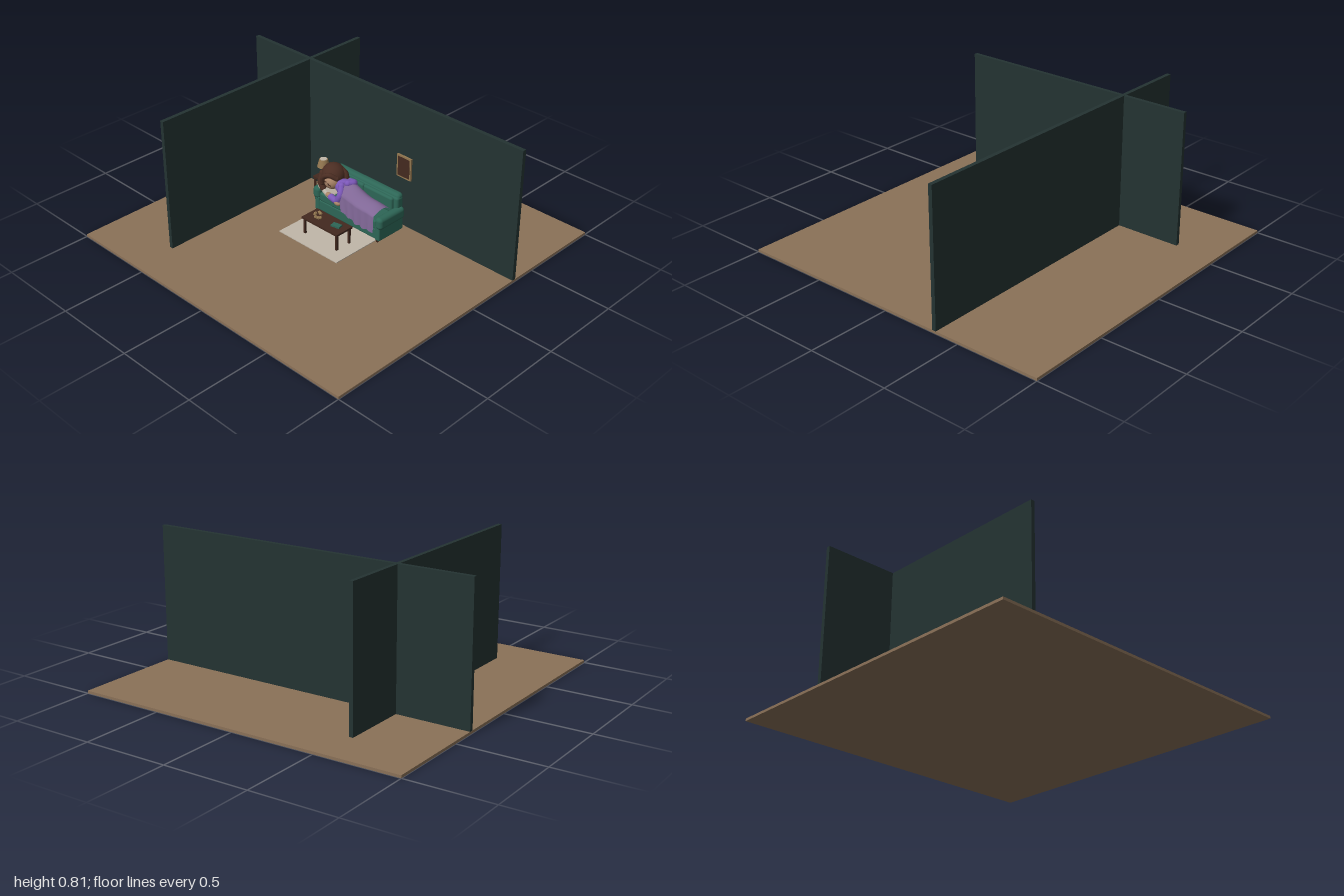
import * as THREE from 'three';
import { RoundedBoxGeometry } from 'three/addons/geometries/RoundedBoxGeometry.js';

const mat = (name, color, side = THREE.FrontSide) => {
  const m = new THREE.MeshStandardMaterial({ color, side });
  m.name = name;
  return m;
};

export function createModel() {
  const floorTan = mat('floor tan', 0x8a7158);
  const wallDark = mat('wall dark green', 0x243332);
  const teal = mat('sofa teal', 0x2d6656);
  const wood = mat('dark wood', 0x43291f);
  const brass = mat('brass tan', 0x92764f);
  const cream = mat('cream', 0xc0b7a9);
  const hairBrown = mat('hair brown', 0x4b2d22);
  const skin = mat('skin', 0xa98468);
  const purple = mat('pyjama purple', 0x7c58b8);
  const lilac = mat('blanket lilac', 0x806796, THREE.DoubleSide);

  const model = new THREE.Group();
  model.name = 'livingRoom';
  const group = (name) => {
    const g = new THREE.Group();
    g.name = name;
    model.add(g);
    return g;
  };
  const add = (parent, name, geo, material, x = 0, y = 0, z = 0) => {
    const m = new THREE.Mesh(geo, material);
    m.name = name;
    m.position.set(x, y, z);
    parent.add(m);
    return m;
  };
  // boxes given by their limits on each axis; r rounds the edges
  const box = (parent, name, material, [x0, x1], [y0, y1], [z0, z1], r = 0) => {
    const s = [x1 - x0, y1 - y0, z1 - z0];
    const geo = r ? new RoundedBoxGeometry(...s, 3, r) : new THREE.BoxGeometry(...s);
    return add(parent, name, geo, material, (x0 + x1) / 2, (y0 + y1) / 2, (z0 + z1) / 2);
  };
  const ball = (parent, name, material, pos, size) => {
    const m = add(parent, name, new THREE.SphereGeometry(1, 24, 16), material, ...pos);
    m.scale.set(...size);
    return m;
  };
  const tube = (parent, name, material, pts, r) => {
    const curve = new THREE.CatmullRomCurve3(pts.map((p) => new THREE.Vector3(...p)));
    add(parent, name, new THREE.TubeGeometry(curve, 14, r, 10), material);
    for (const p of [pts[0], pts[pts.length - 1]]) ball(parent, name + 'End', material, p, [r, r, r]);
  };

  // room shell
  const room = group('room');
  box(room, 'floor', floorTan, [-1, 1], [0, 0.015], [-1, 1]);
  box(room, 'backWall', wallDark, [-1, 1], [0.015, 0.813], [-0.355, -0.331]);
  box(room, 'sideWall', wallDark, [-0.564, -0.541], [0.015, 0.812], [-0.75, 0.75]);
  box(room, 'rug', cream, [-0.243, 0.212], [0.015, 0.02], [-0.16, 0.215]);

  // framed picture
  const picture = group('picture');
  box(picture, 'pictureFrame', brass, [0.16, 0.265], [0.33, 0.47], [-0.331, -0.32]);
  box(picture, 'pictureCanvas', wood, [0.17, 0.255], [0.34, 0.46], [-0.325, -0.318]);

  // sofa
  const sofa = group('sofa');
  box(sofa, 'sofaBase', teal, [-0.245, 0.245], [0.035, 0.105], [-0.28, -0.085], 0.01);
  box(sofa, 'sofaBack', teal, [-0.25, 0.25], [0.08, 0.25], [-0.285, -0.232], 0.015);
  box(sofa, 'sofaBackRoll', teal, [-0.252, 0.248], [0.215, 0.266], [-0.291, -0.24], 0.022);
  for (const s of [-1, 1]) {
    box(sofa, 'seatCushion', teal, s < 0 ? [-0.222, 0] : [0, 0.222], [0.1, 0.155], [-0.24, -0.085], 0.012);
    box(sofa, 'backCushion', teal, s < 0 ? [-0.222, 0] : [0, 0.222], [0.15, 0.245], [-0.245, -0.215], 0.013);
    const ax = s * 0.237;
    box(sofa, 'armPanel', teal, [ax - 0.018, ax + 0.018], [0.035, 0.125], [-0.28, -0.08], 0.008);
    box(sofa, 'armRoll', teal, [s * 0.244 - 0.026, s * 0.244 + 0.026], [0.11, 0.185], [-0.282, -0.074], 0.022);
    for (const z of [-0.26, -0.1])
      add(sofa, 'sofaFoot', new THREE.CylinderGeometry(0.01, 0.007, 0.022, 10), wood, s * 0.225, 0.026, z);
  }

  // tables share a top on four legs
  const table = (name, x, z, w, d, h, leg) => {
    const g = group(name);
    box(g, 'tableTop', wood, [x - w / 2, x + w / 2], [h - 0.012, h], [z - d / 2, z + d / 2]);
    for (const sx of [-1, 1]) for (const sz of [-1, 1])
      add(g, 'tableLeg', new THREE.BoxGeometry(leg, h - 0.027, leg), wood,
        x + sx * (w / 2 - leg), (h + 0.003) / 2, z + sz * (d / 2 - leg));
    return g;
  };
  const coffee = table('coffeeTable', 0, 0.075, 0.277, 0.125, 0.128, 0.013);
  const book = box(coffee, 'book', teal, [0.045, 0.1], [0.128, 0.138], [0.055, 0.09]);
  book.rotation.y = 0.2;
  // crumpled tissues in a small heap
  for (let i = 0; i < 7; i++) {
    const a = i * 2.4;
    const t = add(coffee, 'tissue', new THREE.IcosahedronGeometry(0.011, 0), brass,
      -0.065 + Math.cos(a) * 0.02, 0.137 + (i % 3) * 0.011, 0.082 + Math.sin(a) * 0.012);
    t.rotation.set(a, i, 0);
  }

  // side table and lamp
  const side = table('sideTable', -0.336, -0.235, 0.09, 0.09, 0.156, 0.01);
  const lampProfile = [[0, 0], [0.022, 0], [0.022, 0.006], [0.006, 0.012], [0.005, 0.07], [0, 0.07]];
  add(side, 'lampStand', new THREE.LatheGeometry(lampProfile.map((p) => new THREE.Vector2(...p)), 20),
    brass, -0.336, 0.156, -0.235);
  add(side, 'lampShade', new THREE.CylinderGeometry(0.025, 0.038, 0.048, 20), brass, -0.336, 0.246, -0.235);
  add(side, 'lampShadeTop', new THREE.CylinderGeometry(0.021, 0.021, 0.003, 20), cream, -0.336, 0.271, -0.235);

  // pillow leaning on the arm
  const pillow = box(model, 'pillow', cream, [-0.248, -0.132], [0.157, 0.187], [-0.225, -0.085], 0.014);
  pillow.rotation.z = -0.55;

  // sleeping person
  const person = group('person');
  ball(person, 'hair', hairBrown, [-0.182, 0.262, -0.163], [0.072, 0.07, 0.07]);
  ball(person, 'face', skin, [-0.163, 0.238, -0.135], [0.049, 0.049, 0.049]);
  tube(person, 'fringe', hairBrown, [[-0.205, 0.225, -0.095], [-0.195, 0.265, -0.091], [-0.155, 0.29, -0.098], [-0.12, 0.27, -0.125]], 0.015);
  tube(person, 'sideLock', hairBrown, [[-0.23, 0.27, -0.12], [-0.225, 0.22, -0.1], [-0.205, 0.185, -0.1]], 0.018);
  tube(person, 'backLock', hairBrown, [[-0.16, 0.3, -0.19], [-0.125, 0.27, -0.2], [-0.115, 0.22, -0.195]], 0.02);
  // closed eyes and mouth
  for (const [x, y] of [[-0.177, 0.25], [-0.143, 0.238]])
    tube(person, 'closedEye', wood, [[x - 0.011, y + 0.004, -0.088], [x, y - 0.003, -0.086], [x + 0.011, y - 0.003, -0.088]], 0.003);
  tube(person, 'mouth', wood, [[-0.174, 0.216, -0.09], [-0.168, 0.213, -0.09], [-0.162, 0.212, -0.09]], 0.002);
  // torso and arms
  const torso = ball(person, 'torso', purple, [-0.055, 0.215, -0.155], [0.095, 0.05, 0.058]);
  torso.rotation.z = -0.12;
  tube(person, 'nearArm', purple, [[-0.07, 0.25, -0.115], [-0.055, 0.205, -0.088], [-0.08, 0.16, -0.085], [-0.125, 0.165, -0.085]], 0.02);
  tube(person, 'farArm', purple, [[-0.075, 0.245, -0.19], [-0.03, 0.262, -0.175], [-0.045, 0.265, -0.14]], 0.02);
  ball(person, 'nearHand', skin, [-0.145, 0.172, -0.085], [0.02, 0.015, 0.016]);
  ball(person, 'restingHand', skin, [-0.068, 0.153, -0.078], [0.024, 0.016, 0.016]);

  // blanket: a sheet arched over the legs, with its front hem hanging down
  const geo = new THREE.PlaneGeometry(1, 1, 28, 28);
  const p = geo.attributes.position;
  for (let i = 0; i < p.count; i++) {
    const u = p.getX(i) + 0.5;
    const t = 0.5 - p.getY(i);
    const top = 0.278 - 0.078 * Math.pow(u, 0.8) + 0.006 * Math.sin(u * 9);
    const hem = 0.115 - 0.035 * Math.min(1, u * 2) + 0.004 * Math.sin(u * 24);
    const over = Math.min(t / 0.6, 1);
    const hang = Math.max(0, (t - 0.6) / 0.4);
    const edge = 0.165 + (top - 0.165) * 0.45;
    const arch = over < 0.5 ? Math.sin(over * Math.PI) * (top - 0.16) + 0.16
      : edge + (top - edge) * Math.sin(over * Math.PI);
    const y = hang > 0 ? edge + (hem - edge) * hang : arch;
    const z = -0.235 + 0.155 * over + hang * (0.008 + 0.004 * Math.sin(u * 30));
    p.setXYZ(i, -0.058 + 0.268 * u + (1 - u) * 0.02 * hang, y, z);
  }
  geo.computeVertexNormals();
  add(model, 'blanket', geo, lilac);

  return model;
}
